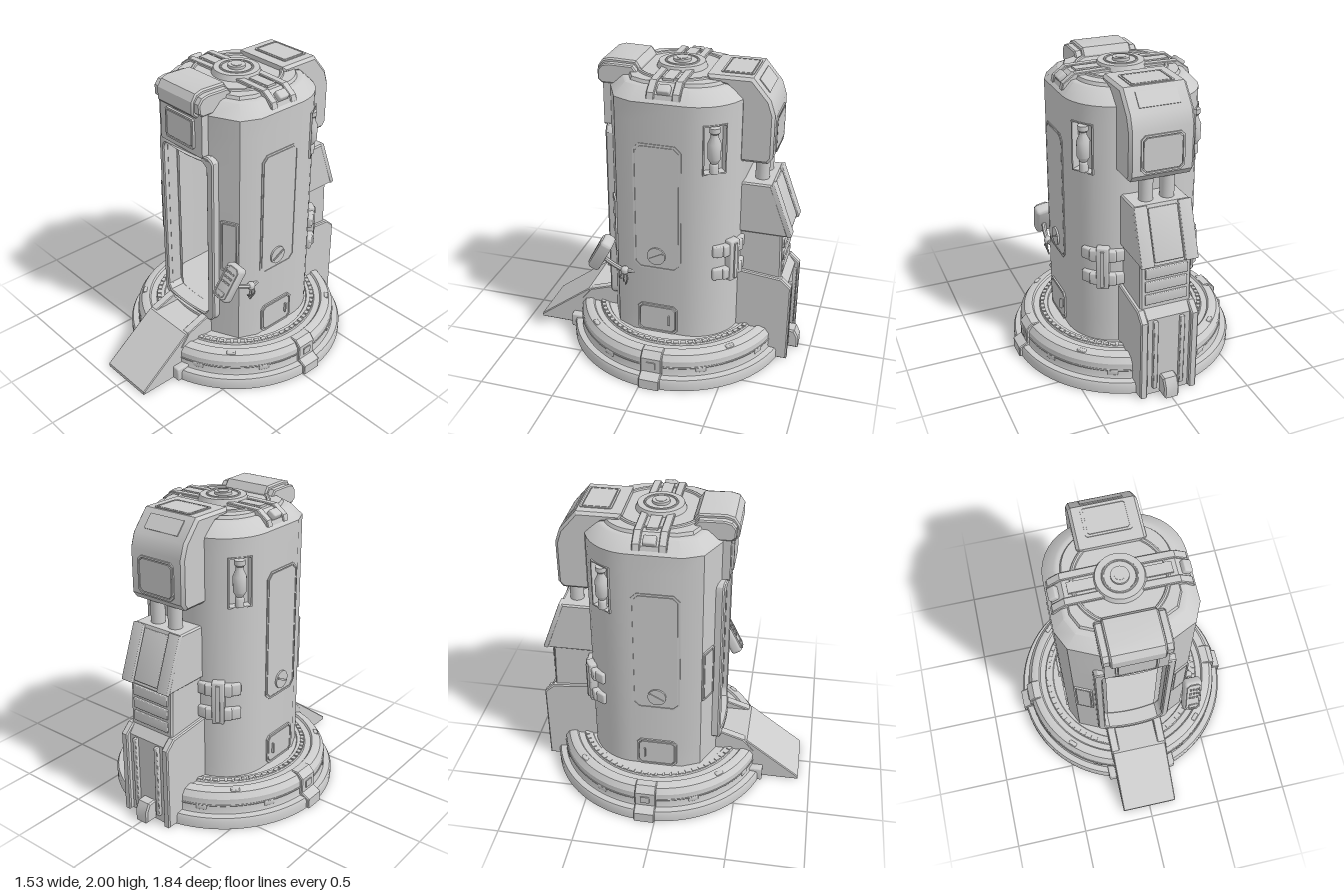
import * as THREE from 'three';
import { toCreasedNormals } from 'three/addons/utils/BufferGeometryUtils.js';
import { RoundedBoxGeometry } from 'three/addons/geometries/RoundedBoxGeometry.js';

const CZ = -0.07; // centre of the base and body in z
const grey = new THREE.MeshStandardMaterial({ color: 0xcccccc, side: THREE.DoubleSide });

function add(parent, name, geo, x = 0, y = 0, z = 0, rx = 0, ry = 0, rz = 0) {
  const m = new THREE.Mesh(toCreasedNormals(geo, 0.55), grey);
  m.name = name;
  m.position.set(x, y, z);
  m.rotation.set(rx, ry, rz);
  parent.add(m);
  return m;
}

function group(parent, name, x = 0, y = 0, z = 0, rx = 0, ry = 0, rz = 0) {
  const g = new THREE.Group();
  g.name = name;
  g.position.set(x, y, z);
  g.rotation.set(rx, ry, rz);
  parent.add(g);
  return g;
}

const box = (w, h, d) => new THREE.BoxGeometry(w, h, d);
const rbox = (w, h, d, r = 0.01) => new RoundedBoxGeometry(w, h, d, 2, r);
const cyl = (r, h, n = 32, r2 = r) => new THREE.CylinderGeometry(r2, r, h, n);
const both = (fn) => [1, -1].forEach(fn);

// side profile of [z, y] points, extruded across x and centred
function profileX(pts, width, bevel = 0.01) {
  const shape = new THREE.Shape(pts.map((p) => new THREE.Vector2(p[0], p[1])));
  const g = new THREE.ExtrudeGeometry(shape, {
    depth: width - 2 * bevel, bevelEnabled: bevel > 0, bevelSize: bevel,
    bevelThickness: bevel, bevelOffset: -bevel, bevelSegments: 1,
  });
  return g.translate(0, 0, -(width - 2 * bevel) / 2).rotateY(-Math.PI / 2);
}

function cutRect(w, h, c, Type = THREE.Shape) {
  const a = w / 2, b = h / 2;
  return new Type([[c - a, -b], [a - c, -b], [a, c - b], [a, b - c], [a - c, b], [c - a, b], [-a, b - c], [-a, c - b]]
    .map((p) => new THREE.Vector2(p[0], p[1])));
}

// cut-corner plate facing +z, or a frame when a rim is given
function plate(w, h, t, c = 0.015, rim = 0) {
  const s = cutRect(w, h, c);
  if (rim) s.holes.push(cutRect(w - 2 * rim, h - 2 * rim, c * 0.8, THREE.Path));
  return new THREE.ExtrudeGeometry(s, { depth: t, bevelEnabled: false });
}

function framedPlate(parent, name, w, h, t, c, x, y, z, rx = 0, ry = 0) {
  const g = group(parent, name, x, y, z, rx, ry);
  add(g, name + 'Rim', plate(w, h, t, c, 0.012));
  add(g, name + 'Face', plate(w - 0.034, h - 0.034, t, c * 0.8));
  return g;
}

// body plan: bulging door front, angled cheeks, flat sides, rounded back
function bodyPlan() {
  const half = [0, 0.05, 0.1, 0.15, 0.2].map((x) => [x, 0.335 + 0.03 * (1 - (x / 0.2) ** 2)]);
  half.push([0.38, 0.25], [0.435, 0.13]);
  for (const deg of [0, 7, 14.5, 22, 31, 40, 48.6, 59, 69, 80, 90]) {
    const t = (deg * Math.PI) / 180;
    half.push([0.12 + 0.315 * Math.cos(t), -0.2 - 0.32 * Math.sin(t)]);
  }
  return [...half, ...half.slice(1).reverse().map(([x, z]) => [-x, z])];
}

// skin through scaled copies of a plan, leaving out the quads that skip() names
function loft(plan, levels, skip = () => false) {
  const pos = [];
  const at = (p, [y, s]) => [p[0] * s, y, CZ + (p[1] - CZ) * s];
  for (let l = 0; l + 1 < levels.length; l++) {
    plan.forEach((p, i) => {
      const q = plan[(i + 1) % plan.length];
      const mid = [(p[0] + q[0]) / 2, (p[1] + q[1]) / 2];
      if (skip(mid[0], (levels[l][0] + levels[l + 1][0]) / 2, mid[1])) return;
      const a = at(p, levels[l]), b = at(q, levels[l]), c = at(q, levels[l + 1]), d = at(p, levels[l + 1]);
      pos.push(...a, ...b, ...c, ...a, ...c, ...d);
    });
  }
  const g = new THREE.BufferGeometry();
  g.setAttribute('position', new THREE.Float32BufferAttribute(pos, 3));
  return g;
}

function buildBase(root) {
  const base = group(root, 'base', 0, 0, CZ);
  const prof = [[0, 0], [0.75, 0], [0.75, 0.055], [0.74, 0.075], [0.7, 0.08], [0.695, 0.09], [0.695, 0.185], [0.67, 0.222],
    [0.635, 0.235], [0.615, 0.235], [0.605, 0.222], [0.565, 0.222], [0.56, 0.232], [0.51, 0.232], [0.505, 0.225], [0, 0.225]];
  add(base, 'baseDisc', new THREE.LatheGeometry(prof.map((p) => new THREE.Vector2(...p)), 96));
  add(base, 'baseBand', new THREE.TorusGeometry(0.695, 0.006, 6, 96), 0, 0.14, 0, Math.PI / 2);
  const radial = (name, geo, r, y, a) => add(base, name, geo, r * Math.sin(a), y, r * Math.cos(a), 0, a);
  for (let i = 0; i < 72; i++) radial('floorTooth', box(0.034, 0.012, 0.026), 0.545, 0.233, ((i + 0.5) * Math.PI) / 36);
  for (let i = 0; i < 4; i++) {
    const a = Math.PI / 4 + (i * Math.PI) / 2;
    radial('baseLight', rbox(0.06, 0.02, 0.03, 0.008), 0.65, 0.228, a);
    both((s) => radial('baseVent', rbox(0.07, 0.04, 0.02, 0.008), 0.69, 0.125, a + s * 0.32));
  }
  both((s) => {
    const clip = group(base, 'baseClip', 0, 0, 0, 0, (s * Math.PI) / 2);
    add(clip, 'clipFoot', profileX([[0.68, 0], [0.765, 0], [0.765, 0.07], [0.71, 0.1], [0.71, 0.2], [0.67, 0.24], [0.62, 0.24]], 0.14, 0.006));
    add(clip, 'clipCentre', box(0.06, 0.05, 0.03), 0, 0.15, 0.702);
  });
}

function buildBody(root) {
  const body = group(root, 'body');
  const plan = bodyPlan();
  const door = (x, y, z) => Math.abs(x) < 0.2 && z > 0.33 && y > 0.38 && y < 1.55;
  const niche = (x, y, z) => Math.abs(x) > 0.3 && z < -0.31 && z > -0.45 && y > 1.41 && y < 1.72;
  add(body, 'shell', loft(plan, [[0.22, 1], [0.38, 1], [1.41, 1], [1.55, 1], [1.72, 1], [1.84, 1],
    [1.915, 0.84], [1.92, 0.8], [1.92, 0.76], [1.94, 0.74], [1.94, 0]], (x, y, z) => door(x, y, z) || niche(x, y, z)));
  add(body, 'cabinInterior', loft(plan, [[1.55, 0], [1.55, 0.84], [0.38, 0.84], [0.38, 0]], door));

  // door surround bent to the bulge of the front
  const s = new THREE.Shape(cutRect(0.51, 1.235, 0.03).getSpacedPoints(120));
  s.holes.push(new THREE.Path(cutRect(0.41, 1.15, 0.03).getSpacedPoints(120)));
  const frame = new THREE.ExtrudeGeometry(s, { depth: 0.1, bevelSize: 0.008, bevelThickness: 0.008, bevelOffset: -0.008, bevelSegments: 1 });
  const p = frame.attributes.position;
  for (let i = 0; i < p.count; i++) p.setZ(i, p.getZ(i) + 0.25 + 0.03 * (1 - (p.getX(i) / 0.255) ** 2));
  add(body, 'doorFrame', frame, 0, 0.96);

  both((k) => {
    framedPlate(body, 'cheekPanel', 0.125, 0.375, 0.012, 0.008, k * 0.322, 0.948, 0.277, 0, k * 0.44);
    framedPlate(body, 'sidePanel', 0.31, 0.87, 0.006, 0.04, k * 0.434, 1.145, -0.035, 0, (k * Math.PI) / 2);
    add(body, 'sideKnob', cyl(0.06, 0.03), k * 0.437, 0.81, -0.03, 0, 0, Math.PI / 2);
    add(body, 'knobSlot', box(0.012, 0.012, 0.1), k * 0.452, 0.81, -0.03, 0.5);
    framedPlate(body, 'sideHatch', 0.27, 0.21, 0.012, 0.025, k * 0.434, 0.335, -0.035, 0, (k * Math.PI) / 2);
    add(body, 'hatchHandle', box(0.02, 0.07, 0.01), k * 0.451, 0.335, -0.115);

    // niche with a bottle, set in the rounded rear corner
    const n = group(body, 'bottleNiche', k * 0.375, 1.565, -0.38, 0, k * 2.16);
    add(n, 'nicheBack', box(0.15, 0.32, 0.006), 0, 0, -0.056);
    both((e) => {
      add(n, 'nicheSide', box(0.008, 0.32, 0.066), e * 0.072, 0, -0.025);
      add(n, 'nicheEnd', box(0.15, 0.008, 0.066), 0, e * 0.156, -0.025);
    });
    const bottle = [[0, -0.155], [0.028, -0.155], [0.028, -0.1], [0.022, -0.09], [0.04, -0.06], [0.042, 0.04],
      [0.024, 0.08], [0.024, 0.1], [0.033, 0.11], [0.033, 0.14], [0, 0.14]];
    add(n, 'bottle', new THREE.LatheGeometry(bottle.map((q) => new THREE.Vector2(...q)), 20), 0, 0, -0.008);

    // clamp
    const c = group(body, 'clamp', k * 0.285, 0.785, -0.475, 0, k * 2.6);
    add(c, 'clampBar', rbox(0.08, 0.29, 0.07), 0, 0, 0.01);
    add(c, 'clampRib', box(0.025, 0.25, 0.02), 0, 0, 0.045);
    both((e) => {
      add(c, 'clampBand', rbox(0.17, 0.08, 0.06), 0, e * 0.083, 0.005);
      both((f) => add(c, 'clampTip', rbox(0.07, 0.08, 0.05), f * 0.1, e * 0.083, -0.015, 0, f * 0.5));
    });
  });
}

function buildRoof(root) {
  const roof = group(root, 'roof', 0, 0, CZ);
  add(roof, 'roofRing', new THREE.TorusGeometry(0.28, 0.014, 8, 64), 0, 1.94, 0, Math.PI / 2);
  add(roof, 'hub', cyl(0.16, 0.04, 48, 0.145), 0, 1.955);
  add(roof, 'hubRing', new THREE.TorusGeometry(0.1, 0.008, 8, 48), 0, 1.975, 0, Math.PI / 2);
  add(roof, 'hubCap', cyl(0.055, 0.035), 0, 1.975);
  add(roof, 'hubNut', cyl(0.035, 0.02, 8), 0, 1.985);
  const arm = [[0.1, 1.9], [0.1, 1.96], [0.34, 1.955], [0.415, 1.9], [0.425, 1.86], [0.36, 1.86]];
  both((s) => {
    const g = group(roof, 'roofArm', 0, 0, 0, 0, (s * Math.PI) / 2);
    add(g, 'armCore', profileX(arm.map(([z, y]) => [z - 0.005, y - 0.012]), 0.14, 0));
    both((e) => add(g, 'armRail', profileX(arm, 0.05, 0.005), e * 0.08));
    add(g, 'armPlate', box(0.07, 0.02, 0.18), 0, 1.948, 0.22);
    add(g, 'armEnd', rbox(0.08, 0.07, 0.06), 0, 1.905, 0.385, 0.6);
  });
  // front hood and the panel under it
  const hood = [[0.15, 1.9], [0.15, 1.95], [0.18, 1.995], [0.35, 2], [0.4, 1.985], [0.43, 1.94], [0.43, 1.86], [0.4, 1.83], [0.3, 1.83]];
  add(root, 'hood', profileX(hood, 0.33, 0.01));
  both((s) => add(root, 'hoodCheek', profileX(hood.map(([z, y]) => [0.28 + (z - 0.28) * 0.9, 1.915 + (y - 1.915) * 0.75]), 0.05, 0.008), s * 0.185));
  add(root, 'hoodPanel', plate(0.39, 0.29, 0.06, 0.01), 0, 1.715, 0.325);
  framedPlate(root, 'hoodScreen', 0.26, 0.2, 0.016, 0.01, 0, 1.71, 0.385);
}

function buildRamp(root) {
  const ramp = group(root, 'ramp');
  add(ramp, 'rampSlope', profileX([[0.3, 0], [0.92, 0], [0.92, 0.025], [0.55, 0.305], [0.3, 0.305]], 0.39, 0.006));
  both((s) => {
    add(ramp, 'rampBracket', rbox(0.06, 0.1, 0.1), s * 0.215, 0.05, 0.62);
    add(ramp, 'rampShoulder', profileX([[0.3, 0.22], [0.6, 0.22], [0.53, 0.31], [0.38, 0.36], [0.3, 0.36]], 0.06, 0.006), s * 0.17);
  });
}

function buildBackUnit(root) {
  const back = group(root, 'backUnit');
  add(back, 'upperHousing', profileX([[-0.28, 1.93], [-0.28, 1.97], [-0.56, 1.97], [-0.67, 1.84], [-0.7, 1.75], [-0.7, 1.47],
    [-0.67, 1.43], [-0.49, 1.43], [-0.49, 1.82], [-0.4, 1.91]], 0.42, 0.018));
  framedPlate(back, 'rearScreen', 0.28, 0.24, 0.012, 0.025, 0, 1.6, -0.697, 0, Math.PI);
  framedPlate(back, 'topScreen', 0.28, 0.2, 0.008, 0.01, 0, 1.968, -0.45, -Math.PI / 2);
  add(back, 'slopePlate', box(0.26, 0.1, 0.012), 0, 1.905, -0.615, 0.702);
  both((s) => add(back, 'piston', cyl(0.045, 0.2, 24), s * 0.07, 1.355, -0.62));
  // middle wedge with slanted covers
  add(back, 'middleWedge', profileX([[-0.48, 1.28], [-0.7, 1.28], [-0.825, 0.93], [-0.48, 0.93]], 0.37));
  both((s) => add(back, 'slantedCover', rbox(0.085, 0.37, 0.03, 0.006), s * 0.145, 1.105, -0.768, 0.355));
  add(back, 'centreCover', rbox(0.19, 0.33, 0.02, 0.006), 0, 1.105, -0.766, 0.355);
  // lower column
  add(back, 'column', profileX([[-0.48, 0.95], [-0.78, 0.95], [-0.79, 0.62], [-0.835, 0.56], [-0.835, 0], [-0.48, 0]], 0.34));
  for (const y of [0.68, 0.77, 0.86]) add(back, 'columnSlat', rbox(0.28, 0.07, 0.02, 0.006), 0, y, -0.788);
  both((s) => {
    add(back, 'columnRail', profileX([[-0.5, 0.65], [-0.8, 0.62], [-0.865, 0.56], [-0.865, 0], [-0.5, 0]], 0.05, 0.008), s * 0.17);
    add(back, 'railPost', rbox(0.03, 0.5, 0.03, 0.006), s * 0.09, 0.3, -0.845);
  });
  add(back, 'columnFoot', profileX([[-0.8, 0.14], [-0.89, 0.135], [-0.918, 0.08], [-0.918, 0], [-0.8, 0]], 0.1));
}

function buildHandset(root) {
  const arm = [[0.42, 0.66, 0.12], [0.43, 0.66, 0.19], [0.425, 0.69, 0.27], [0.41, 0.72, 0.34]];
  const tube = (pts, r) => new THREE.TubeGeometry(new THREE.CatmullRomCurve3(pts.map((p) => new THREE.Vector3(...p))), 16, r, 8);
  add(root, 'handsetArm', tube(arm, 0.016));
  add(root, 'armJoint', new THREE.SphereGeometry(0.028, 16, 12), 0.43, 0.66, 0.19);
  for (let i = 0; i < 3; i++) {
    add(root, 'looseWire', tube([[0.43, 0.66, 0.19], [0.445, 0.61, 0.17 + i * 0.025], [0.425, 0.55 + i * 0.02, 0.19 + i * 0.012]], 0.005));
  }
  const h = group(root, 'handset', 0.405, 0.755, 0.355, -0.49, 0.1, -0.12);
  add(h, 'handsetCase', rbox(0.125, 0.25, 0.08, 0.025));
  add(h, 'handsetRim', plate(0.1, 0.225, 0.01, 0.02, 0.01), 0, 0, 0.036);
  add(h, 'speaker', rbox(0.06, 0.03, 0.014, 0.005), 0, -0.08, 0.04);
  for (let i = 0; i < 9; i++) add(h, 'key', box(0.014, 0.012, 0.012), ((i % 3) - 1) * 0.024, 0.07 - Math.floor(i / 3) * 0.035, 0.042);
}

export function createModel() {
  const root = new THREE.Group();
  root.name = 'booth';
  [buildBase, buildBody, buildRoof, buildRamp, buildBackUnit, buildHandset].forEach((build) => build(root));
  return root;
}
